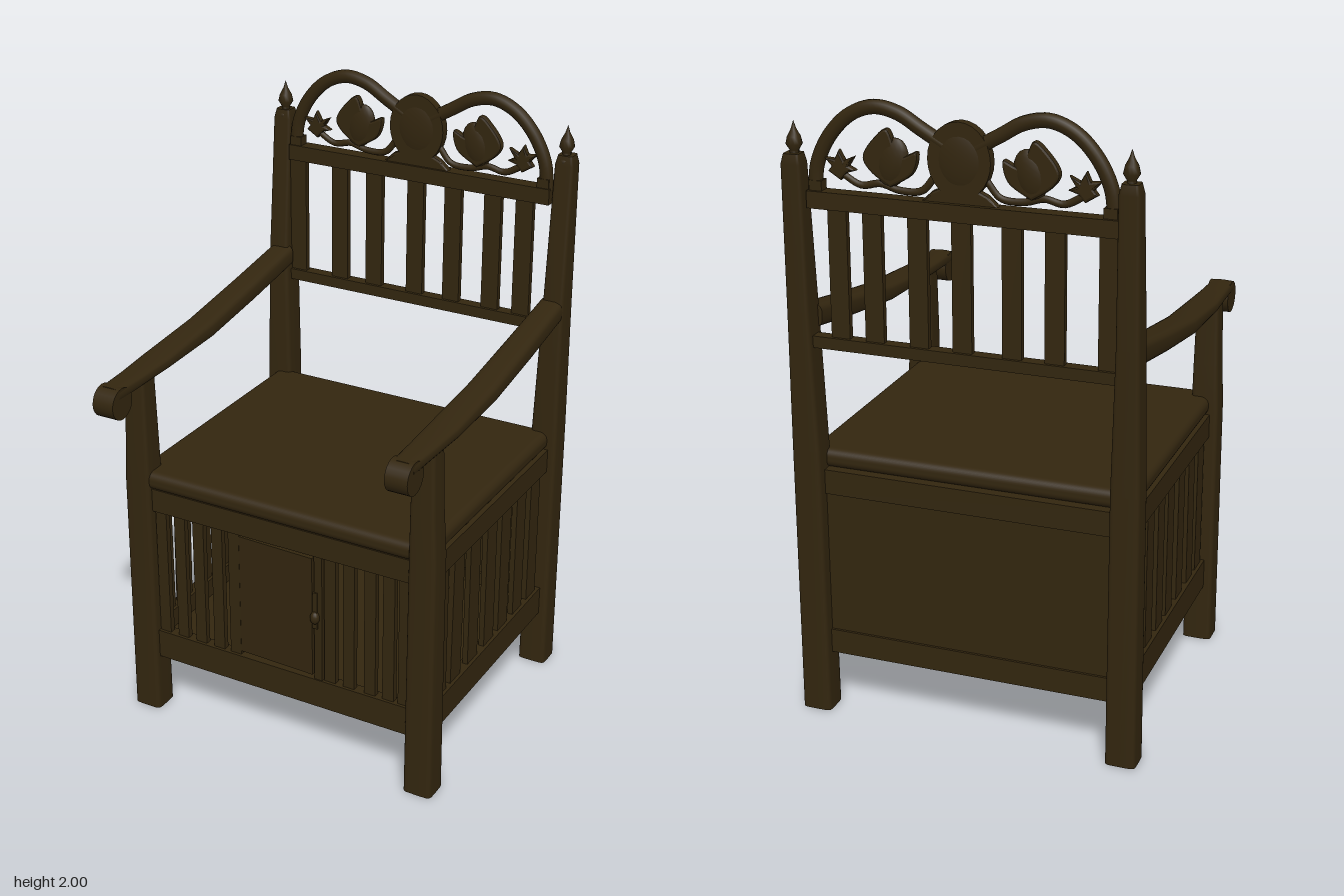
import * as THREE from 'three';
import { RoundedBoxGeometry } from 'three/addons/geometries/RoundedBoxGeometry.js';

const wood = new THREE.MeshStandardMaterial({ color: 0x33260f });
wood.name = 'darkWood';

// Rounded-square loft along z; sections are [z, centreX, centreY, halfX, halfY].
function loft(sections, power = 0.4, n = 24) {
  const pos = [], idx = [];
  const ring = ([t, cx, cy, hx, hy]) => {
    for (let i = 0; i < n; i++) {
      const a = (i / n) * Math.PI * 2, c = Math.cos(a), s = Math.sin(a);
      pos.push(cx + hx * Math.sign(c) * Math.abs(c) ** power, cy + hy * Math.sign(s) * Math.abs(s) ** power, t);
    }
  };
  sections.forEach(ring);
  for (let k = 0; k < sections.length - 1; k++) {
    for (let i = 0; i < n; i++) {
      const a = k * n + i, b = k * n + (i + 1) % n;
      idx.push(a, b, b + n, a, b + n, a + n);
    }
  }
  // End caps with their own vertices
  const first = pos.length / 3, last = first + n;
  ring(sections[0]);
  ring(sections[sections.length - 1]);
  for (let i = 1; i < n - 1; i++) {
    idx.push(first, first + i + 1, first + i, last, last + i, last + i + 1);
  }
  const g = new THREE.BufferGeometry();
  g.setAttribute('position', new THREE.Float32BufferAttribute(pos, 3));
  g.setIndex(idx);
  g.computeVertexNormals();
  return g;
}

// Upright loft; sections are [y, centreX, centreZ, halfX, halfZ].
function post(sections) {
  return loft(sections.map(([y, x, z, hx, hz]) => [y, x, -z, hx, hz]), 0.3).rotateX(-Math.PI / 2);
}

export function createModel() {
  const model = new THREE.Group();
  model.name = 'armchair';

  const add = (name, geometry, x = 0, y = 0, z = 0) => {
    const m = new THREE.Mesh(geometry, wood);
    m.name = name;
    m.position.set(x, y, z);
    model.add(m);
    return m;
  };
  // Box given by its lower and upper limits
  const box = (name, x0, x1, y0, y1, z0, z1) =>
    add(name, new THREE.BoxGeometry(x1 - x0, y1 - y0, z1 - z0), (x0 + x1) / 2, (y0 + y1) / 2, (z0 + z1) / 2);

  // Thin carved shape centred on its depth
  const carve = (name, points, x, y, z, depth, sx = 1, curved = false) => {
    const pts = points.map(([px, py]) => new THREE.Vector2(px * sx, py));
    const shape = new THREE.Shape();
    if (curved) {
      shape.moveTo(pts[0].x, pts[0].y);
      shape.splineThru([...pts.slice(1), pts[0]]);
    } else shape.setFromPoints(pts);
    const g = new THREE.ExtrudeGeometry(shape, {
      depth, bevelEnabled: true, bevelThickness: 0.008, bevelSize: 0.008, bevelOffset: -0.008, bevelSegments: 2, curveSegments: 5,
    });
    return add(name, g.translate(0, 0, -depth / 2), x, y, z);
  };

  const finial = [[0, 0], [0.026, 0], [0.026, 0.015], [0.014, 0.025], [0.014, 0.038], [0.025, 0.056], [0.02, 0.078], [0.008, 0.1], [0, 0.125]]
    .map(([r, y]) => new THREE.Vector2(r, y));

  for (const s of [1, -1]) {
    const side = s > 0 ? 'left' : 'right';
    // Legs and back posts
    add(side + 'FrontLeg', post([
      [0, s * 0.51, 0.375, 0.049, 0.046], [0.85, s * 0.51, 0.375, 0.046, 0.044],
      [1.0, s * 0.507, 0.377, 0.042, 0.04], [1.22, s * 0.506, 0.378, 0.037, 0.036],
    ]));
    add(side + 'BackPost', post([
      [0, s * 0.51, -0.509, 0.049, 0.046], [0.9, s * 0.51, -0.515, 0.046, 0.045],
      [1.35, s * 0.513, -0.525, 0.036, 0.044], [1.8, s * 0.512, -0.546, 0.032, 0.03], [1.83, s * 0.512, -0.546, 0.025, 0.024],
    ]));
    add(side + 'Finial', new THREE.LatheGeometry(finial, 12), s * 0.51, 1.8, -0.543);

    // Armrest with a scrolled tip
    add(side + 'Armrest', loft([
      [-0.5, s * 0.505, 1.322, 0.042, 0.037], [-0.25, s * 0.506, 1.28, 0.046, 0.034], [0.02, s * 0.507, 1.24, 0.049, 0.03],
      [0.28, s * 0.507, 1.223, 0.05, 0.021], [0.42, s * 0.505, 1.217, 0.043, 0.02], [0.54, s * 0.504, 1.213, 0.038, 0.022],
    ], 0.6));
    add(side + 'ArmScroll', new THREE.CylinderGeometry(0.052, 0.052, 0.074, 24).rotateZ(Math.PI / 2), s * 0.504, 1.183, 0.527);

    // Slatted side of the base
    const rail = (name, y0, y1, t) => box(side + name, s * 0.51 - t, s * 0.51 + t, y0, y1, -0.48, 0.35);
    rail('LowerRail', 0.2, 0.3, 0.02);
    rail('UpperRail', 0.75, 0.83, 0.02);
    [0.278, 0.17, 0.05, -0.072, -0.18, -0.297, -0.408].forEach((z, i) => {
      const m = box(side + 'SideSlat', s * 0.51 - 0.009, s * 0.51 + 0.009, 0.29, 0.76, z - 0.036, z + 0.036);
      if (i === 1) m.rotation.x = -0.02;
    });
  }

  // Seat and base
  add('seat', new RoundedBoxGeometry(1.05, 0.062, 0.915, 4, 0.026), 0, 0.859, -0.0475);
  box('floor', -0.5, 0.5, 0.215, 0.235, -0.5, 0.38);
  box('frontLowerRail', -0.47, 0.47, 0.2, 0.3, 0.36, 0.4);
  box('frontUpperRail', -0.47, 0.47, 0.75, 0.83, 0.36, 0.4);
  box('backPanel', -0.47, 0.47, 0.27, 0.78, -0.515, -0.495);
  box('backLowerRail', -0.47, 0.47, 0.2, 0.28, -0.523, -0.485);
  box('backUpperRail', -0.47, 0.47, 0.75, 0.83, -0.523, -0.485);

  // Front slats and cupboard door
  for (const x of [-0.44, -0.37, -0.3, -0.23, -0.167, 0.183, 0.25, 0.325, 0.39, 0.445]) {
    box('frontSlat', x - 0.02, x + 0.02, 0.29, 0.76, 0.37, 0.39);
  }
  const door = box('door', -0.145, 0.125, 0.315, 0.74, 0.378, 0.396);
  door.rotation.y = -0.03;
  box('doorJamb', 0.13, 0.158, 0.3, 0.75, 0.372, 0.396);
  const knob = add('doorKnob', new THREE.SphereGeometry(0.016, 14, 10), 0.135, 0.53, 0.4);
  knob.scale.y = 1.4;
  box('doorLatch', 0.127, 0.143, 0.49, 0.62, 0.39, 0.401);

  // Slatted backrest
  box('backrestLowerRail', -0.48, 0.48, 1.235, 1.272, -0.545, -0.505);
  box('backrestUpperRail', -0.475, 0.475, 1.668, 1.72, -0.55, -0.5);
  for (const x of [-0.448, -0.287, -0.157, -0.003, 0.133, 0.275, 0.386]) {
    box('backrestSlat', x - 0.03, x + 0.03, 1.26, 1.68, -0.535, -0.515);
  }

  // Crest: arches, centre disc and carved leaves
  const crestZ = -0.522;
  const arch = [[-0.458, 1.71], [-0.447, 1.8], [-0.405, 1.885], [-0.34, 1.95], [-0.265, 1.978], [-0.19, 1.965], [-0.12, 1.925], [-0.05, 1.885]];
  const bigLeaf = [[0.0, -0.085], [0.07, -0.04], [0.085, 0.025], [0.03, 0.01], [-0.005, 0.085], [-0.05, 0.055], [-0.085, 0.0], [-0.06, -0.045]];
  const smallLeaf = [[0.0, -0.045], [0.04, -0.02], [0.028, -0.005], [0.05, 0.02], [0.018, 0.018], [0.004, 0.046],
    [-0.014, 0.016], [-0.046, 0.03], [-0.028, 0.0], [-0.05, -0.012], [-0.02, -0.022]];
  const stem = [[-0.08, 1.79], [-0.12, 1.745], [-0.19, 1.74], [-0.25, 1.755], [-0.31, 1.745], [-0.37, 1.775]];
  for (const s of [1, -1]) {
    const curve = (pts) => new THREE.CatmullRomCurve3(pts.map(([x, y]) => new THREE.Vector3(-x * s, y, 0)));
    const bow = add('crestArch', new THREE.TubeGeometry(curve(arch), 40, 0.022, 10), 0, 0, crestZ);
    bow.scale.z = 0.8;
    const vine = add('crestStem', new THREE.TubeGeometry(curve(stem), 24, 0.011, 8), 0, 0, crestZ);
    vine.scale.z = 0.8;
    carve('largeLeaf', bigLeaf, s * 0.215, 1.833, crestZ, 0.012, -s, true);
    const rib = add('leafRib', new THREE.SphereGeometry(1, 14, 10), s * 0.21, 1.82, crestZ);
    rib.scale.set(0.05, 0.075, 0.02);
    rib.rotation.z = s * 0.25;
    carve('smallLeaf', smallLeaf, s * 0.372, 1.8, crestZ, 0.008, s);
    box('crestFoot', s * 0.45 - 0.02, s * 0.45 + 0.02, 1.71, 1.75, crestZ - 0.018, crestZ + 0.018);
  }
  carve('crestMound', [[-0.125, 1.712], [0.125, 1.712], [0.085, 1.75], [0.03, 1.775], [-0.03, 1.775], [-0.085, 1.75]], 0, 0, crestZ, 0.01);
  const disc = add('centreDisc', new THREE.CylinderGeometry(0.096, 0.096, 0.032, 28).rotateX(Math.PI / 2), 0, 1.845, crestZ);
  disc.scale.y = 1.17;
  const boss = add('centreBoss', new THREE.SphereGeometry(0.085, 24, 14), 0, 1.845, crestZ);
  boss.scale.set(1, 1.17, 0.27);

  return model;
}
